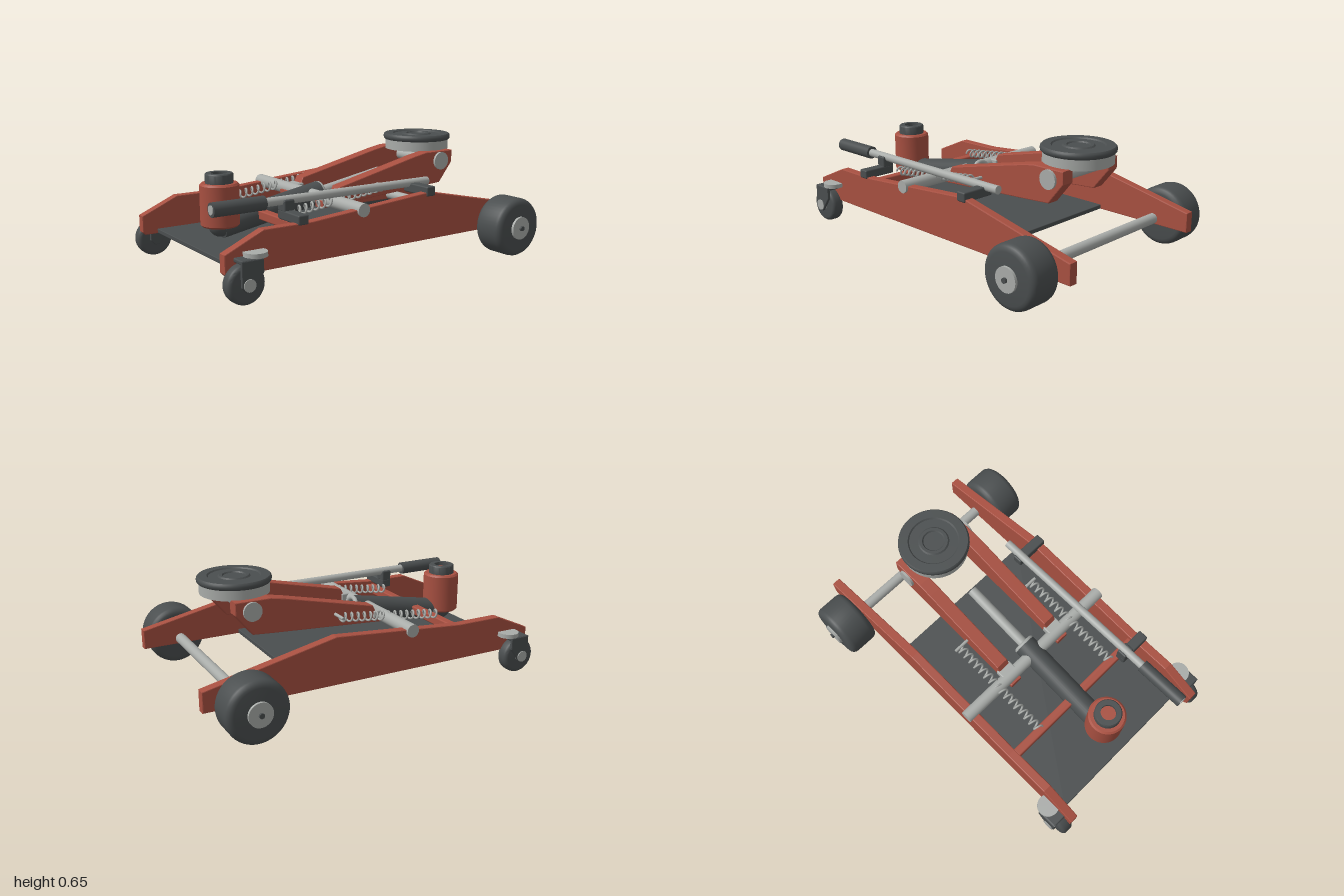
import * as THREE from 'three';
import { toCreasedNormals } from 'three/addons/utils/BufferGeometryUtils.js';
import { RoundedBoxGeometry } from 'three/addons/geometries/RoundedBoxGeometry.js';

const material = (name, color) => {
  const m = new THREE.MeshStandardMaterial({ color });
  m.name = name;
  return m;
};

export function createModel() {
  const red = material('red paint', 0xa85041);
  const steel = material('light steel', 0xa9aca9);
  const dark = material('dark grey', 0x4a4e4f);
  const model = new THREE.Group();
  model.name = 'floorJack';

  const add = (name, geometry, mat, x = 0, y = 0, z = 0) => {
    const mesh = new THREE.Mesh(geometry, mat);
    mesh.name = name;
    mesh.position.set(x, y, z);
    model.add(mesh);
    return mesh;
  };
  const box = (name, mat, x0, x1, y0, y1, z0, z1, r = 0.008) =>
    add(name, new RoundedBoxGeometry(x1 - x0, y1 - y0, z1 - z0, 2, r), mat,
      (x0 + x1) / 2, (y0 + y1) / 2, (z0 + z1) / 2);
  // Cylinder between two points
  const rod = (name, mat, r, a, b, sides = 32) => {
    const p = new THREE.Vector3(...a), q = new THREE.Vector3(...b);
    const d = q.clone().sub(p);
    const mesh = add(name, new THREE.CylinderGeometry(r, r, d.length(), sides), mat);
    mesh.position.copy(p).add(q).multiplyScalar(0.5);
    mesh.quaternion.setFromUnitVectors(new THREE.Vector3(0, 1, 0), d.normalize());
    return mesh;
  };
  // Turned part from [radius, height] pairs
  const turned = (points) => toCreasedNormals(
    new THREE.LatheGeometry(points.map(([r, y]) => new THREE.Vector2(r, y)), 48), 0.7);
  // Plate cut to a [z, y] outline, with its thickness along x
  const plate = (name, mat, outline, x, thickness) => {
    const bevel = 0.005;
    const g = new THREE.ExtrudeGeometry(
      new THREE.Shape(outline.map(([z, y]) => new THREE.Vector2(z, y))), {
        depth: thickness - 2 * bevel, bevelEnabled: true, bevelSize: bevel,
        bevelOffset: -bevel, bevelThickness: bevel, bevelSegments: 2,
      });
    g.translate(0, 0, -(thickness - 2 * bevel) / 2).rotateY(-Math.PI / 2);
    return add(name, g, mat, x);
  };
  // Wheel with rounded shoulders, axis along x
  const wheel = (name, r, width, round, x, y, z) => {
    const h = width / 2, pts = [[0, -h]];
    for (const side of [-1, 1]) {
      for (let i = 0; i <= 4; i++) {
        const a = ((side < 0 ? i : 4 - i) / 4) * Math.PI / 2;
        pts.push([r - round + round * Math.sin(a), side * (h - round + round * Math.cos(a))]);
      }
    }
    pts.push([0, h]);
    add(name, turned(pts).rotateZ(-Math.PI / 2), dark, x, y, z);
  };

  // Frame
  const sideOutline = [[0.97, 0.138], [0.987, 0.155], [0.987, 0.248], [0.775, 0.342],
    [0.5, 0.342], [-0.27, 0.404], [-1, 0.25], [-1, 0.138]];
  box('basePlate', dark, -0.47, 0.47, 0.14, 0.165, -0.42, 0.9, 0.004);
  box('crossBar', red, -0.47, 0.47, 0.272, 0.322, 0.493, 0.543);
  rod('pivotTube', steel, 0.036, [-0.532, 0.362, 0.187], [0.532, 0.362, 0.187]);
  rod('rearAxle', steel, 0.03, [-0.53, 0.17, -0.783], [0.53, 0.17, -0.783]);

  const armOutline = [[0.235, 0.322], [0.235, 0.358], [0.15, 0.37], [0.12, 0.428],
    [-0.417, 0.55], [-0.5, 0.565], [-0.7, 0.565], [-0.7, 0.495], [-0.605, 0.378], [-0.47, 0.368]];
  const forkOutline = [[0.82, 0.228], [0.94, 0.228], [0.94, 0.1], [0.915, 0.072],
    [0.885, 0.072], [0.82, 0.16]];

  for (const s of [-1, 1]) {
    plate('sideFrame', red, sideOutline, s * 0.492, 0.052);

    // Rear wheel
    wheel('rearWheel', 0.167, 0.188, 0.035, s * 0.614, 0.168, -0.783);
    rod('rearHub', steel, 0.065, [s * 0.7, 0.168, -0.783], [s * 0.722, 0.168, -0.783]);
    rod('rearHubNut', dark, 0.014, [s * 0.72, 0.168, -0.783], [s * 0.734, 0.168, -0.783], 12);

    // Front caster
    wheel('casterWheel', 0.101, 0.076, 0.022, s * 0.537, 0.103, 0.899);
    for (const x of [0.48, 0.589]) plate('casterFork', dark, forkOutline, s * x, 0.018);
    box('casterForkTop', dark, s * 0.535 - 0.062, s * 0.535 + 0.062, 0.208, 0.23, 0.82, 0.94);
    rod('casterAxle', steel, 0.032, [s * 0.473, 0.108, 0.9], [s * 0.603, 0.108, 0.9]);
    rod('casterSwivel', steel, 0.06, [s * 0.54, 0.228, 0.835], [s * 0.54, 0.252, 0.835]);

    // Lifting arm and its pins
    plate('liftArm', red, armOutline, s * 0.186, 0.076);
    box('pivotClamp', steel, s * 0.186 - 0.048, s * 0.186 + 0.048, 0.35, 0.396, 0.122, 0.19);
    rod('headPinCap', steel, 0.052, [s * 0.222, 0.508, -0.607], [s * 0.238, 0.508, -0.607]);
    rod('springPin', steel, 0.009, [s * 0.2, 0.416, -0.12], [s * 0.318, 0.416, -0.12], 12);

    // Return spring
    const path = [], turns = 16, steps = turns * 10;
    for (let i = 0; i <= steps; i++) {
      const t = i / steps, a = t * turns * Math.PI * 2;
      path.push(new THREE.Vector3(s * 0.285 + Math.cos(a) * 0.023,
        0.338 + t * 0.078 + Math.sin(a) * 0.023, 0.515 - t * 0.635));
    }
    add('returnSpring', new THREE.TubeGeometry(
      new THREE.CatmullRomCurve3(path), steps * 2, 0.006, 6), steel);
  }
  rod('headPin', steel, 0.03, [-0.23, 0.505, -0.607], [0.23, 0.505, -0.607]);

  // Saddle
  rod('saddleBase', steel, 0.19, [0, 0.56, -0.613], [0, 0.62, -0.613], 48);
  add('saddlePad', turned([[0, 0], [0.193, 0], [0.2, 0.007], [0.202, 0.018], [0.2, 0.029],
    [0.193, 0.036], [0.145, 0.036], [0.138, 0.029], [0.088, 0.029], [0.08, 0.036],
    [0.064, 0.036], [0.058, 0.029], [0, 0.029]]), dark, 0, 0.617, -0.613);

  // Hydraulic ram
  const ramY = (z) => 0.383 - 0.18 * z;
  rod('ramCylinder', dark, 0.065, [0, ramY(0.74), 0.74], [0, ramY(0.11), 0.11]);
  add('ramEnd', new THREE.SphereGeometry(0.065, 32, 16), dark, 0, 0.26, 0.74);
  const collar = add('ramCollar', new THREE.TorusGeometry(0.052, 0.014, 12, 32), steel, 0, ramY(0.11), 0.11);
  collar.rotation.x = Math.atan(0.18);
  rod('ramRod', steel, 0.029, [0, ramY(0.13), 0.13], [0, ramY(-0.315), -0.315]);

  // Pump reservoir
  add('pumpBody', turned([[0, 0], [0.095, 0], [0.105, 0.01], [0.105, 0.221], [0.095, 0.231], [0, 0.231]]),
    red, 0, 0.255, 0.74);
  add('pumpCap', turned([[0.075, 0], [0.075, 0.05], [0.07, 0.056], [0.042, 0.056], [0.042, 0]]),
    dark, 0, 0.482, 0.74);
  rod('pumpPlunger', red, 0.042, [0, 0.48, 0.74], [0, 0.518, 0.74]);

  // Handle and its brackets
  rod('handleBar', steel, 0.023, [0.36, 0.432, -0.385], [0.36, 0.432, 0.7]);
  rod('handleGrip', dark, 0.037, [0.36, 0.432, 0.68], [0.36, 0.432, 0.97]);
  rod('handleEnd', steel, 0.024, [0.36, 0.432, 0.968], [0.36, 0.432, 0.974]);
  box('frontBracket', dark, 0.325, 0.525, 0.333, 0.383, 0.522, 0.582);
  box('frontClip', dark, 0.325, 0.395, 0.375, 0.438, 0.522, 0.582);
  box('rearBracket', dark, 0.325, 0.525, 0.38, 0.434, -0.305, -0.245);

  return model;
}
